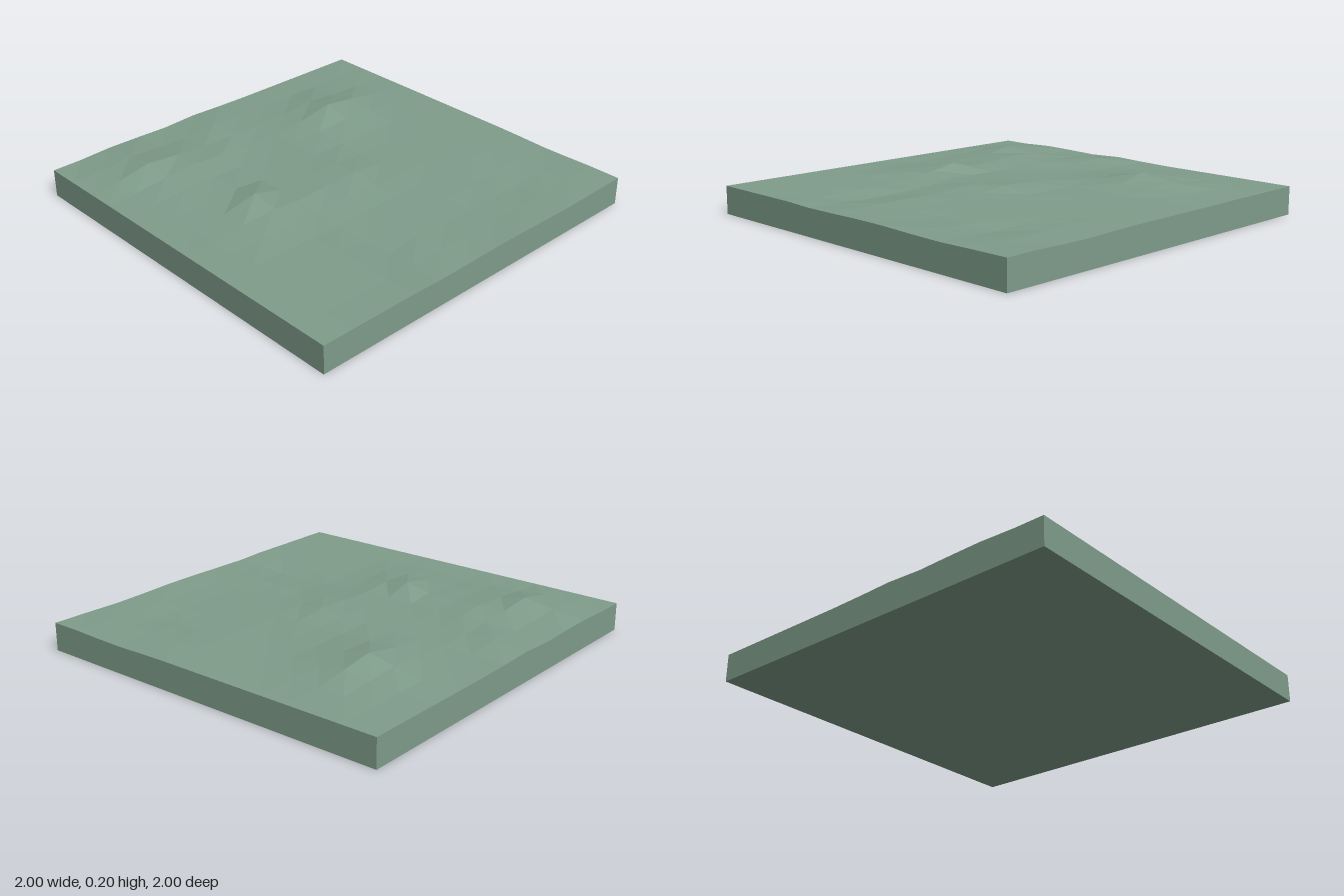
import * as THREE from 'three';

// Uneven grid lines of the terrain
const XS = [-1, -0.82, -0.66, -0.52, -0.37, -0.2, -0.06, 0.08, 0.22, 0.36, 0.53, 0.68, 0.83, 0.995];
const ZS = [-1, -0.79, -0.61, -0.44, -0.24, -0.06, 0.12, 0.31, 0.47, 0.66, 0.84, 1];
const LEVEL = 0.145;

// Interior relief in thousandths above the level, one row per z line, back to front
const RELIEF = [
  [3, 6, 8, 4, 1, 0, 0, 0, -1, -3, -4, -2],
  [4, 14, 34, 16, 4, 1, 0, -1, -3, -10, -16, -10],
  [6, 30, 58, 26, 6, 2, 0, -1, -3, -6, -8, -6],
  [4, 12, 22, 18, 8, 4, 4, 2, -2, -6, -10, -8],
  [4, 6, 8, 10, 12, 18, 24, 8, 0, -4, -6, -5],
  [22, 14, 8, 8, 10, 12, 16, 10, 0, 0, -1, -3],
  [8, 16, 22, 10, 6, 8, 10, -4, -12, -18, -18, -10],
  [8, 30, 32, 20, 20, 50, 24, 6, -4, -4, -6, -6],
  [24, 48, 22, 14, 10, 12, 14, 9, 0, -1, -2, -3],
  [8, 14, 3, 2, 1, 0, 2, 0, 0, -1, -1, -1],
];
// Edge rows stay nearly level, with a gentle wave
const LEFT_EDGE = { 5: 3, 6: 8, 8: 4, 9: 7 };
const BACK_EDGE = { 9: -2, 10: -6, 11: -4 };
const RIGHT_EDGE = { 1: -3, 2: -7, 3: -5, 6: -3, 7: -5 };

function heightAt(i, j) {
  let h = 0;
  if (j === 0) h = BACK_EDGE[i] ?? 0;
  else if (j === ZS.length - 1) h = 0;
  else if (i === 0) h = LEFT_EDGE[j] ?? 0;
  else if (i === XS.length - 1) h = RIGHT_EDGE[j] ?? 0;
  else h = RELIEF[j - 1][i - 1];
  return LEVEL + h / 1000;
}

export function createModel() {
  const group = new THREE.Group();
  group.name = 'terrainTile';
  const nx = XS.length - 1;
  const nz = ZS.length - 1;

  // Subdivided slab, turned so the cell diagonals run back-left to front-right
  const geometry = new THREE.BoxGeometry(2, 1, 2, nz, 1, nx).rotateY(Math.PI / 2);
  const pos = geometry.attributes.position;
  for (let k = 0; k < pos.count; k++) {
    const i = Math.round((pos.getX(k) + 1) / 2 * nx);
    const j = Math.round((pos.getZ(k) + 1) / 2 * nz);
    pos.setXYZ(k, XS[i], pos.getY(k) > 0 ? heightAt(i, j) : 0, ZS[j]);
  }
  geometry.computeVertexNormals();

  const material = new THREE.MeshStandardMaterial({ color: 0x7f9c8a, flatShading: true });
  const ground = new THREE.Mesh(geometry, material);
  ground.name = 'groundSlab';
  group.add(ground);
  return group;
}
